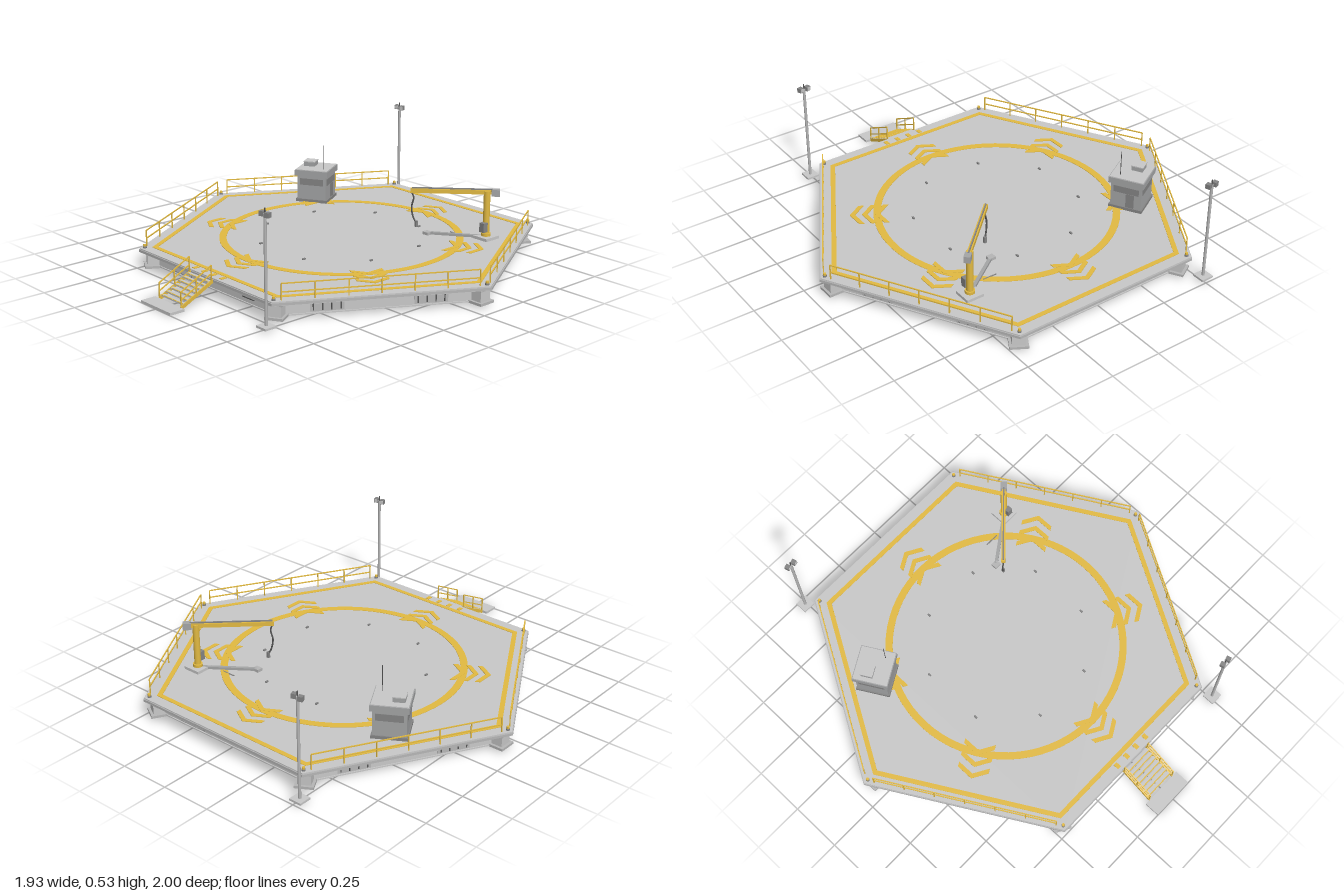
import * as THREE from 'three';

const mat = (name, color) => new THREE.MeshStandardMaterial({ name, color });
const DECK = mat('deckGrey', 0xc8c8c8);
const STEEL = mat('steelGrey', 0xb6b6b6);
const TRIM = mat('trimGrey', 0x858585);
const HUT = mat('hutGrey', 0xa4a5a6);
const DARK = mat('darkMetal', 0x565656);
const YELLOW = mat('safetyYellow', 0xe2ba42);
const TOP = 0.105; // deck surface height

function add(parent, name, geo, material, x = 0, y = 0, z = 0) {
  const m = new THREE.Mesh(geo, material);
  m.name = name;
  m.position.set(x, y, z);
  parent.add(m);
  return m;
}
const box = (parent, name, material, w, h, d, x, y, z) =>
  add(parent, name, new THREE.BoxGeometry(w, h, d), material, x, y, z);
const cyl = (parent, name, material, r, h, x, y, z, sides = 10) =>
  add(parent, name, new THREE.CylinderGeometry(r, r, h, sides), material, x, y, z);

// Straight square bar between two points
function beam(parent, name, material, a, b, w, h = w) {
  const p = new THREE.Vector3(...a), q = new THREE.Vector3(...b);
  const m = add(parent, name, new THREE.BoxGeometry(w, h, p.distanceTo(q)), material);
  m.position.copy(p).add(q).multiplyScalar(0.5);
  m.lookAt(q);
}

function group(parent, name, x = 0, y = 0, z = 0, ry = 0) {
  const g = new THREE.Group();
  g.name = name;
  g.position.set(x, y, z);
  g.rotation.y = ry;
  parent.add(g);
  return g;
}

// Flat regular ring lying in xz, extruded upwards from y
function ring(parent, name, material, n, outer, inner, y, h) {
  const pts = r => Array.from({ length: n }, (_, i) =>
    new THREE.Vector2(r * Math.cos(i * 2 * Math.PI / n), r * Math.sin(i * 2 * Math.PI / n)));
  const s = new THREE.Shape(pts(outer));
  if (inner) s.holes.push(new THREE.Path(pts(inner)));
  const g = new THREE.ExtrudeGeometry(s, { depth: h, bevelEnabled: false });
  g.rotateX(-Math.PI / 2);
  add(parent, name, g, material, 0, y, 0);
}

// Painted chevron with its tip at z = r
function chevron(parent, r) {
  const s = new THREE.Shape([[0, r], [-0.074, r - 0.042], [-0.074, r - 0.066], [0, r - 0.024],
    [0.074, r - 0.066], [0.074, r - 0.042]].map(p => new THREE.Vector2(...p)));
  const g = new THREE.ExtrudeGeometry(s, { depth: 0.003, bevelEnabled: false });
  g.rotateX(Math.PI / 2);
  add(parent, 'chevron', g, YELLOW, 0, TOP + 0.003, 0);
}

function railing(parent) {
  const g = group(parent, 'railing', 0, TOP, 0.815), L = 0.87;
  for (const y of [0.037, 0.075]) box(g, 'rail', YELLOW, L, 0.005, 0.005, 0, y, 0);
  for (let i = 0; i <= 6; i++) box(g, 'railPost', YELLOW, 0.005, 0.075, 0.005, -L / 2 + i * L / 6, 0.0375, 0);
}

// Group of upright slots on the skirt
function vent(parent, x) {
  const g = group(parent, 'skirtVent', x, 0.05, 0.771);
  box(g, 'ventFrame', STEEL, 0.15, 0.044, 0.003, 0, 0, 0);
  for (let i = 0; i < 4; i++) box(g, 'ventSlot', DARK, 0.006, 0.036, 0.006, -0.06 + i * 0.04, 0, 0);
}

function platform(root) {
  const hub = group(root, 'landingPlatform', 0, 0, -0.085);
  ring(hub, 'deck', DECK, 6, 0.958, 0, 0.085, TOP - 0.085);
  ring(hub, 'deckEdge', STEEL, 6, 0.963, 0.945, 0.088, 0.012);
  ring(hub, 'skirt', DECK, 6, 0.89, 0.872, 0.018, 0.067);
  ring(hub, 'skirtFlange', DECK, 6, 0.896, 0.872, 0.018, 0.006);

  // Painted markings
  ring(hub, 'borderLine', YELLOW, 6, 0.9, 0.874, TOP, 0.002);
  ring(hub, 'landingCircle', YELLOW, 72, 0.582, 0.547, TOP, 0.002);

  for (let i = 0; i < 6; i++) {
    const a = i * Math.PI / 3;
    const side = group(hub, 'platformSide', 0, 0, 0, a);
    for (const r of [0.575, 0.635, 0.692]) chevron(side, r);
    if (i % 3) {
      railing(side);
      vent(side, -0.23);
      vent(side, 0.23);
    } else {
      // Recessed service hatch on the sides without railing
      box(side, 'hatchFrame', TRIM, 0.145, 0.042, 0.004, -0.23, 0.05, 0.771);
      box(side, 'hatch', DECK, 0.139, 0.036, 0.004, -0.23, 0.05, 0.773);
      box(side, 'hatchHandle', DARK, 0.08, 0.004, 0.004, 0.25, 0.045, 0.772);
    }
    // Corner column, foot and deck lamp
    const c = group(hub, 'cornerColumn', 0, 0, 0, a + Math.PI / 6);
    box(c, 'foot', STEEL, 0.085, 0.012, 0.085, 0, 0.021, 0.897);
    box(c, 'column', DECK, 0.06, 0.067, 0.06, 0, 0.0525, 0.897);
    box(c, 'columnCap', STEEL, 0.07, 0.008, 0.07, 0, 0.081, 0.897);
    cyl(c, 'cornerLampBase', TRIM, 0.009, 0.008, 0, TOP + 0.004, 0.935);
    cyl(c, 'cornerLamp', YELLOW, 0.007, 0.012, 0, TOP + 0.012, 0.935);
  }

  // Tie-down cleats
  for (let i = 0; i < 8; i++) {
    const a = (i + 0.5) * Math.PI / 4;
    box(hub, 'cleat', TRIM, 0.008, 0.007, 0.016, 0.4 * Math.cos(a), TOP + 0.0035, 0.4 * Math.sin(a));
  }
  // Marks at the head of the stairs
  for (let i = 0; i < 4; i++) box(hub, 'stairMark', YELLOW, 0.02, 0.003, 0.028, -0.085 + i * 0.065, TOP + 0.001, 0.8);
}

function stairs(root) {
  const g = group(root, 'stairs');
  box(g, 'landingPad', DECK, 0.215, 0.012, 0.075, 0, 0.009, 0.9625);
  for (let i = 0; i < 7; i++) {
    const z = 0.765 + i * 0.023, y = 0.093 - i * 0.0115;
    box(g, 'tread', DECK, 0.155, 0.006, 0.02, 0, y, z);
    box(g, 'treadNosing', YELLOW, 0.155, 0.002, 0.005, 0, y + 0.003, z + 0.007);
  }
  for (const x of [-0.08, 0.08]) {
    beam(g, 'stringer', YELLOW, [x, 0.095, 0.747], [x, 0.01, 0.922], 0.006, 0.016);
    beam(g, 'handrail', YELLOW, [x, 0.168, 0.755], [x, 0.083, 0.922], 0.005);
    beam(g, 'midRail', YELLOW, [x, 0.13, 0.755], [x, 0.046, 0.922], 0.005);
    for (let i = 0; i < 3; i++)
      box(g, 'stairPost', YELLOW, 0.005, 0.08, 0.005, x, 0.128 - i * 0.042, 0.755 + i * 0.083);
  }
}

function hut(root) {
  const g = group(root, 'controlHut', -0.55, TOP, -0.41, Math.PI / 6);
  box(g, 'hutBase', TRIM, 0.165, 0.015, 0.165, 0, 0.0075, 0);
  box(g, 'hutBody', HUT, 0.152, 0.13, 0.152, 0, 0.075, 0);
  box(g, 'hutRoof', HUT, 0.174, 0.03, 0.174, 0, 0.152, 0);
  box(g, 'roofPanel', DECK, 0.166, 0.004, 0.166, 0, 0.168, 0);
  // Window strips on every face, door on the side facing the pad
  for (let i = 0; i < 4; i++) {
    const face = group(g, 'hutFace', 0, 0, 0, i * Math.PI / 2);
    box(face, 'window', TRIM, 0.125, 0.034, 0.004, 0, 0.106, 0.0765);
    if (i === 1) box(face, 'door', TRIM, 0.04, 0.075, 0.004, 0.02, 0.05, 0.0765);
  }
  box(g, 'roofUnit', HUT, 0.056, 0.024, 0.056, -0.035, 0.181, -0.02);
  box(g, 'roofUnitLid', DECK, 0.06, 0.005, 0.06, -0.035, 0.194, -0.02);
  cyl(g, 'antenna', DARK, 0.0018, 0.13, 0.051, 0.23, 0.041, 6);
}

function crane(root) {
  const g = group(root, 'fuelCrane');
  const [x, z] = [0.49, -0.565];
  box(g, 'craneBase', DECK, 0.088, 0.014, 0.088, x, TOP + 0.007, z);
  cyl(g, 'craneCollar', YELLOW, 0.023, 0.015, x, TOP + 0.02, z, 12);
  cyl(g, 'craneMast', YELLOW, 0.016, 0.225, x, 0.225, z, 12);
  box(g, 'valveBox', TRIM, 0.028, 0.045, 0.028, x + 0.005, 0.165, z + 0.024);
  beam(g, 'craneArm', YELLOW, [0.52, 0.333, -0.593], [0.228, 0.333, -0.318], 0.019, 0.02);
  beam(g, 'armPipe', TRIM, [0.51, 0.346, -0.584], [0.232, 0.346, -0.322], 0.006);
  beam(g, 'counterweight', HUT, [0.505, 0.331, -0.579], [0.533, 0.331, -0.606], 0.03, 0.032);
  const path = new THREE.CatmullRomCurve3([
    [0.23, 0.33, -0.32], [0.24, 0.3, -0.328], [0.23, 0.25, -0.325], [0.237, 0.2, -0.33], [0.248, 0.175, -0.338],
  ].map(p => new THREE.Vector3(...p)));
  add(g, 'hose', new THREE.TubeGeometry(path, 20, 0.004, 6), DARK);
  box(g, 'nozzle', TRIM, 0.012, 0.03, 0.012, 0.249, 0.168, -0.339);
  // Supply pipe lying on the deck
  beam(g, 'supplyPipe', HUT, [x, TOP + 0.008, z], [0.265, TOP + 0.008, -0.405], 0.016, 0.012);
  box(g, 'supplyHead', STEEL, 0.034, 0.014, 0.03, 0.262, TOP + 0.007, -0.402);
  box(g, 'drainGrate', TRIM, 0.07, 0.003, 0.005, 0.345, TOP + 0.0015, -0.51);
}

function lightPole(root, x, z, turn) {
  const g = group(root, 'lightPole', x, 0, z);
  box(g, 'poleBase', DECK, 0.062, 0.01, 0.062, 0, 0.02, 0);
  cyl(g, 'pole', STEEL, 0.007, 0.49, 0, 0.265, 0);
  cyl(g, 'poleTip', DARK, 0.003, 0.03, 0, 0.52, 0, 6);
  const head = group(g, 'lightHead', 0, 0.509, 0, turn);
  box(head, 'crossBar', TRIM, 0.05, 0.006, 0.008, 0, -0.006, 0);
  for (const s of [-1, 1]) {
    box(head, 'floodlight', TRIM, 0.022, 0.022, 0.022, s * 0.017, 0, s * 0.006);
    box(head, 'floodlightLens', DECK, 0.017, 0.017, 0.003, s * 0.017, 0, 0.012 + s * 0.006);
  }
}

export function createModel() {
  const root = new THREE.Group();
  root.name = 'landingPad';
  platform(root);
  stairs(root);
  hut(root);
  crane(root);
  lightPole(root, -0.51, -0.968, 0.3);
  lightPole(root, 0.51, 0.8, Math.PI + 0.3);
  return root;
}
